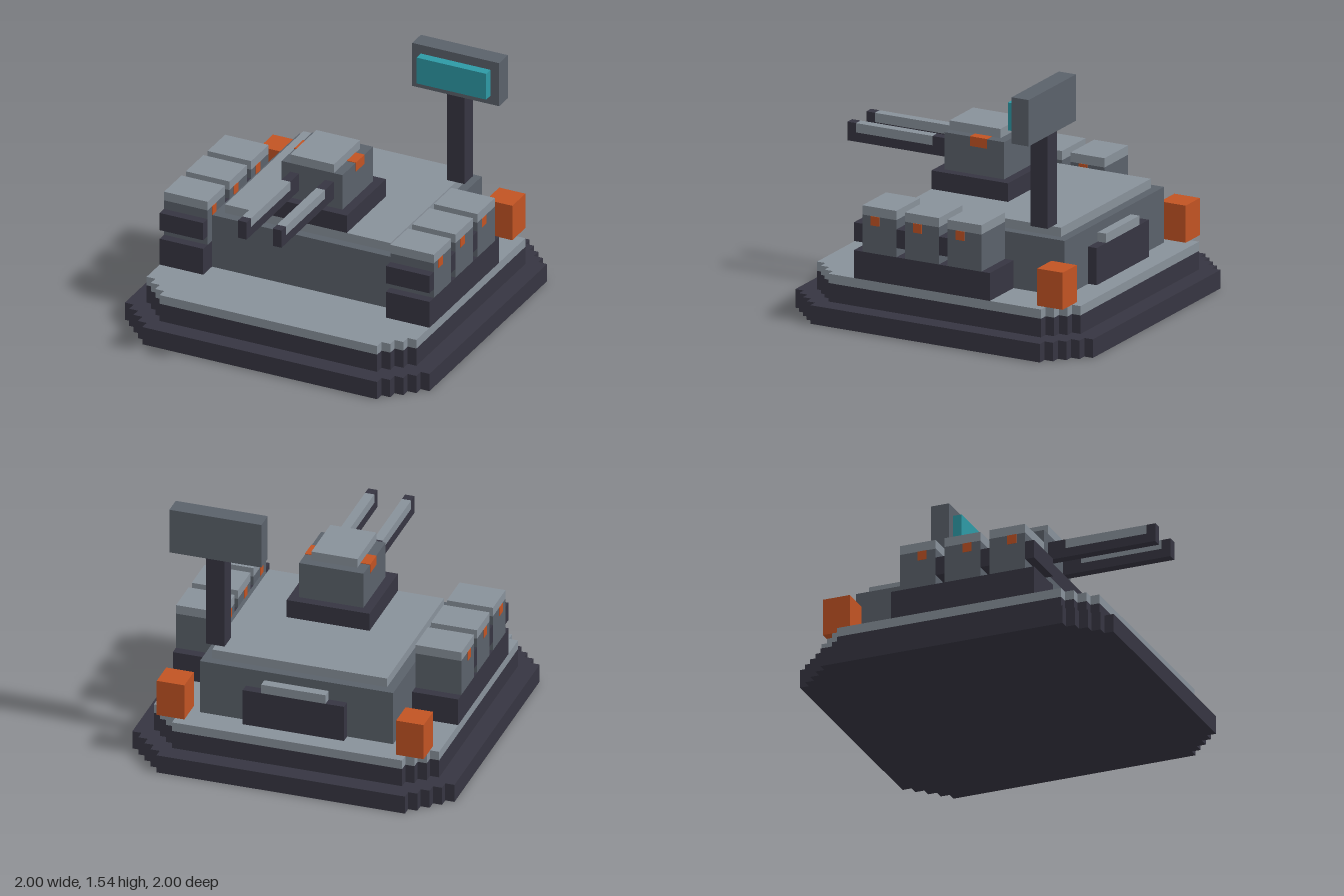
import * as THREE from 'three';

const V = 2 / 35; // one block of the grid

const mat = (name, color) => {
  const m = new THREE.MeshStandardMaterial({ color });
  m.name = name;
  return m;
};

export function createModel() {
  const dark = mat('darkMetal', 0x363541);
  const mid = mat('midGrey', 0x5a616a);
  const light = mat('lightGrey', 0x88919a);
  const orange = mat('orange', 0xc15323);
  const teal = mat('teal', 0x2d99a5);

  const model = new THREE.Group();
  model.name = 'turretPlatform';

  const group = (name) => {
    const g = new THREE.Group();
    g.name = name;
    model.add(g);
    return g;
  };

  // Box from its limits, in blocks
  const box = (parent, name, m, [x0, x1], [y0, y1], [z0, z1]) => {
    const geo = new THREE.BoxGeometry((x1 - x0) * V, (y1 - y0) * V, (z1 - z0) * V);
    const mesh = new THREE.Mesh(geo, m);
    mesh.name = name;
    mesh.position.set((x0 + x1) / 2 * V, (y0 + y1) / 2 * V, (z0 + z1) / 2 * V);
    parent.add(mesh);
  };

  // Same box on both sides
  const pair = (parent, name, m, [x0, x1], y, z) => {
    box(parent, name + 'Left', m, [x0, x1], y, z);
    box(parent, name + 'Right', m, [-x1, -x0], y, z);
  };

  // Square slab with staircase corners
  const slab = (parent, name, m, half, steps, y0, y1) => {
    const corner = [];
    for (let i = 0; i <= steps; i++) {
      const a = half - i, b = half - steps + i;
      corner.push([a, b]);
      if (i < steps) corner.push([a, b + 1]);
    }
    const pts = [];
    for (let q = 0; q < 4; q++) {
      const c = [1, 0, -1, 0][q], s = [0, 1, 0, -1][q];
      for (const [x, y] of corner) pts.push(new THREE.Vector2((x * c - y * s) * V, (x * s + y * c) * V));
    }
    const geo = new THREE.ExtrudeGeometry(new THREE.Shape(pts), { depth: (y1 - y0) * V, bevelEnabled: false });
    geo.rotateX(-Math.PI / 2);
    const mesh = new THREE.Mesh(geo, m);
    mesh.name = name;
    mesh.position.y = y0 * V;
    parent.add(mesh);
  };

  // Stepped base
  const base = group('base');
  slab(base, 'skirt', dark, 17.5, 5, 0, 2);
  slab(base, 'lowerDeck', dark, 15.5, 4, 2, 4);
  slab(base, 'deckPlate', light, 15.5, 4, 4, 5);
  pair(base, 'cornerCrate', orange, [11.5, 14.5], [5, 9], [-14.5, -11.5]);

  // Hull and rear hatch
  const hull = group('hull');
  box(hull, 'hullBody', mid, [-10.5, 10.5], [5, 11], [-12.5, 7.5]);
  box(hull, 'hullRoof', light, [-9.5, 9.5], [11, 12], [-11.5, 6.5]);
  box(hull, 'rearHatch', dark, [-5.5, 5.5], [5, 9], [-13.5, -12.5]);
  box(hull, 'rearHandle', light, [-3.5, 3.5], [9, 10], [-13.5, -12.5]);

  // Side pods: three per side, each with a dark front and a lamp
  const pods = group('sidePods');
  const podX = [10.5, 15.5];
  pair(pods, 'podBase', dark, podX, [5, 8], [-6.5, 9.5]);
  for (const z of [4.5, -0.5, -5.5]) {
    pair(pods, 'podBody', mid, podX, [8, 12], [z, z + 4]);
    pair(pods, 'podCap', light, podX, [12, 13], [z, z + 4]);
    pair(pods, 'podFront', dark, podX, [9, 11], [z + 4, z + 5]);
    pair(pods, 'podLampOuter', orange, [15.45, 15.55], [11, 12], [z + 2, z + 3]);
    pair(pods, 'podLampInner', orange, [10.45, 10.55], [11, 12], [z + 2, z + 3]);
  }

  // Turret with twin guns
  const turret = group('turret');
  box(turret, 'turretRing', dark, [-4.5, 4.5], [12, 14], [-2.5, 6.5]);
  box(turret, 'turretBody', mid, [-3.5, 3.5], [14, 18], [-1.5, 5.5]);
  box(turret, 'turretCap', light, [-2.5, 2.5], [18, 19], [-0.5, 5.5]);
  pair(turret, 'turretLamp', orange, [2.5, 3.55], [17, 18.05], [0.5, 2.5]);
  pair(turret, 'gunBarrel', dark, [1.5, 2.5], [15, 16], [5.5, 17.5]);
  pair(turret, 'gunMount', dark, [1.5, 2.5], [16, 17], [5.5, 7.5]);
  pair(turret, 'gunTop', light, [1.5, 2.5], [16, 17], [7.5, 16.5]);
  pair(turret, 'gunMuzzle', dark, [1.5, 2.5], [16, 17], [16.5, 17.5]);

  // Sensor mast
  const mast = group('sensorMast');
  box(mast, 'mastPole', dark, [8.5, 10.5], [12, 22], [-10.5, -8.5]);
  box(mast, 'sensorPanel', mid, [4.5, 14.5], [22, 27], [-10.5, -8.5]);
  box(mast, 'sensorScreen', teal, [5.5, 13.5], [23, 26], [-8.5, -7.5]);

  return model;
}
